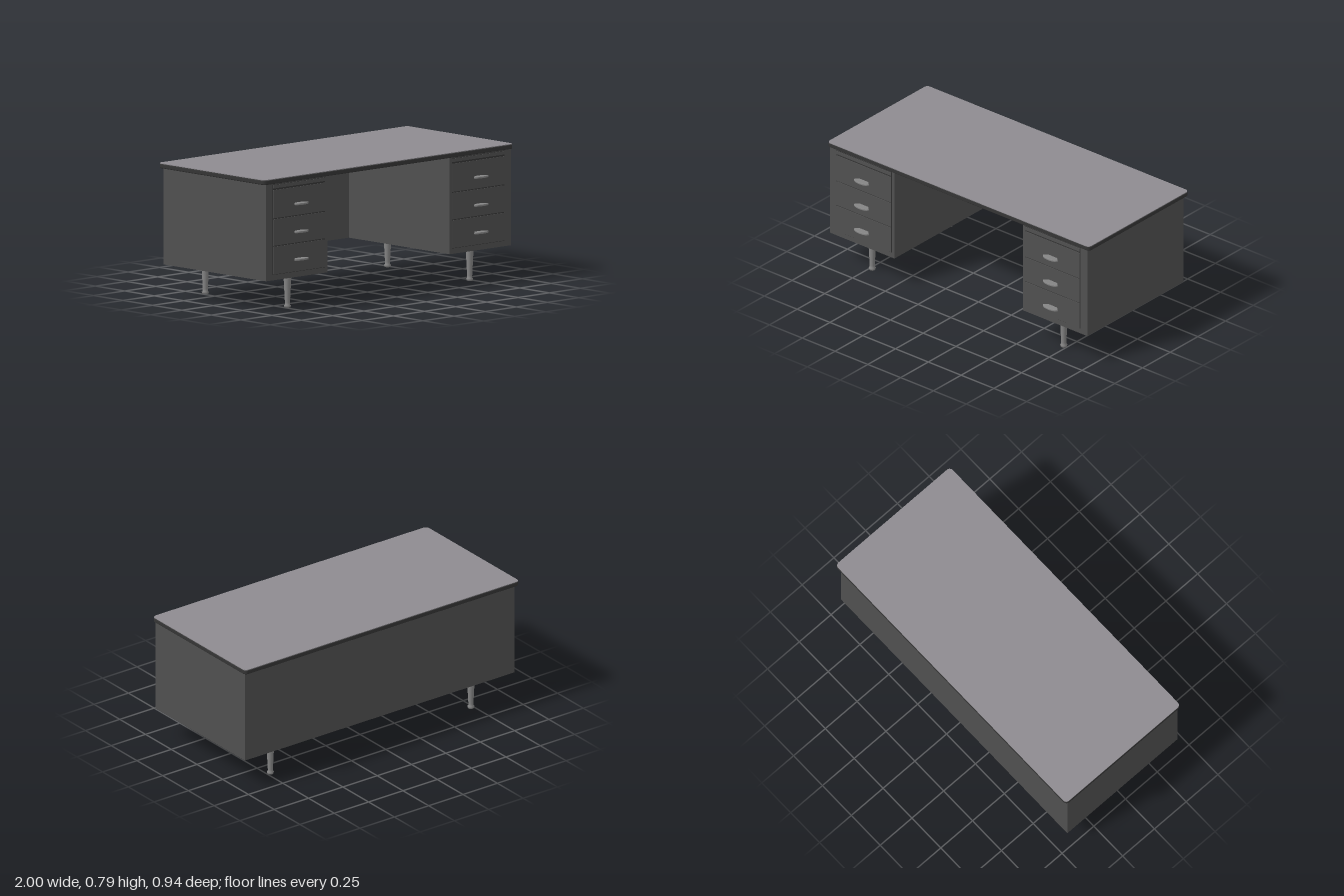
import * as THREE from 'three';

const mat = (name, color, side = THREE.FrontSide) => {
  const m = new THREE.MeshStandardMaterial({ color, side });
  m.name = name;
  return m;
};

export function createModel() {
  const desk = new THREE.Group();
  desk.name = 'desk';
  const body = mat('dark grey steel', 0x505050);
  const trim = mat('black edging', 0x353535);
  const topGrey = mat('light grey laminate', 0x8e8b90);
  const metal = mat('brushed metal', 0x858585);

  const add = (name, geo, material, x = 0, y = 0, z = 0, parent = desk) => {
    const mesh = new THREE.Mesh(geo, material);
    mesh.name = name;
    mesh.position.set(x, y, z);
    parent.add(mesh);
    return mesh;
  };
  // box given by its limits
  const box = (name, material, x0, x1, y0, y1, z0, z1, parent = desk) =>
    add(name, new THREE.BoxGeometry(x1 - x0, y1 - y0, z1 - z0), material,
      (x0 + x1) / 2, (y0 + y1) / 2, (z0 + z1) / 2, parent);

  // rounded rectangle in plan, for the desktop
  const plan = (w, d, r) => {
    const s = new THREE.Shape();
    s.absarc(w - r, d - r, r, 0, Math.PI / 2);
    s.absarc(-w + r, d - r, r, Math.PI / 2, Math.PI);
    s.absarc(-w + r, -d + r, r, Math.PI, Math.PI * 1.5);
    s.absarc(w - r, -d + r, r, Math.PI * 1.5, Math.PI * 2);
    return s;
  };

  // desktop: dark rounded rim with a thin light surface
  const rim = new THREE.ExtrudeGeometry(plan(0.992, 0.444, 0.018), {
    depth: 0.016, bevelThickness: 0.006, bevelSize: 0.008, bevelSegments: 3, curveSegments: 6,
  });
  rim.rotateX(-Math.PI / 2);
  add('desktopRim', rim, trim, 0, 0.764, -0.016);
  const surface = new THREE.ExtrudeGeometry(plan(0.998, 0.451, 0.024),
    { depth: 0.004, bevelEnabled: false, curveSegments: 6 });
  surface.rotateX(-Math.PI / 2);
  add('desktopSurface', surface, topGrey, 0, 0.785, -0.016);

  // panel closing the back and the knee space
  box('backPanel', body, -0.49, 0.49, 0.19, 0.76, -0.44, -0.425);

  // lens-shaped drawer pull, seen from above
  const pullShape = new THREE.Shape();
  pullShape.moveTo(-0.03, 0);
  pullShape.lineTo(-0.052, 0.022);
  pullShape.quadraticCurveTo(-0.045, 0.038, 0, 0.04);
  pullShape.quadraticCurveTo(0.045, 0.038, 0.052, 0.022);
  pullShape.lineTo(0.03, 0);
  const pullGeo = new THREE.ExtrudeGeometry(pullShape, {
    depth: 0.006, bevelThickness: 0.003, bevelSize: 0.003, bevelSegments: 2, curveSegments: 8,
  });
  pullGeo.rotateX(Math.PI / 2);

  // tapered leg with a small foot
  const legGeo = new THREE.LatheGeometry([
    [0, 0], [0.018, 0], [0.021, 0.012], [0.015, 0.016], [0.015, 0.03], [0.023, 0.185],
  ].map(([r, y]) => new THREE.Vector2(r, y)), 16);

  for (const side of [-1, 1]) {
    const pedestal = new THREE.Group();
    pedestal.name = side < 0 ? 'rightPedestal' : 'leftPedestal';
    desk.add(pedestal);
    const cx = side * 0.72;
    box('cabinet', body, side * 0.735 - 0.245, side * 0.735 + 0.245, 0.19, 0.76, -0.44, 0.429, pedestal);

    // dark reveal behind the fronts, showing as thin gaps
    box('drawerReveal', trim, cx - 0.21, cx + 0.21, 0.222, 0.755, 0.425, 0.43, pedestal);
    box('pullOutTray', body, cx - 0.206, cx + 0.206, 0.732, 0.752, 0.428, 0.434, pedestal);
    [[0.225, 0.388], [0.394, 0.55], [0.556, 0.722]].forEach(([y0, y1]) =>
      box('drawerFront', body, cx - 0.206, cx + 0.206, y0, y1, 0.428, 0.434, pedestal));
    for (const y of [0.3, 0.463, 0.628]) add('drawerPull', pullGeo, metal, cx, y, 0.432, pedestal);

    for (const z of [0.345, -0.352]) {
      add('leg', legGeo, metal, side * 0.73, 0, z, pedestal);
      add('legPlate', new THREE.BoxGeometry(0.08, 0.007, 0.09), trim, side * 0.73, 0.187, z, pedestal);
    }
  }
  return desk;
}
